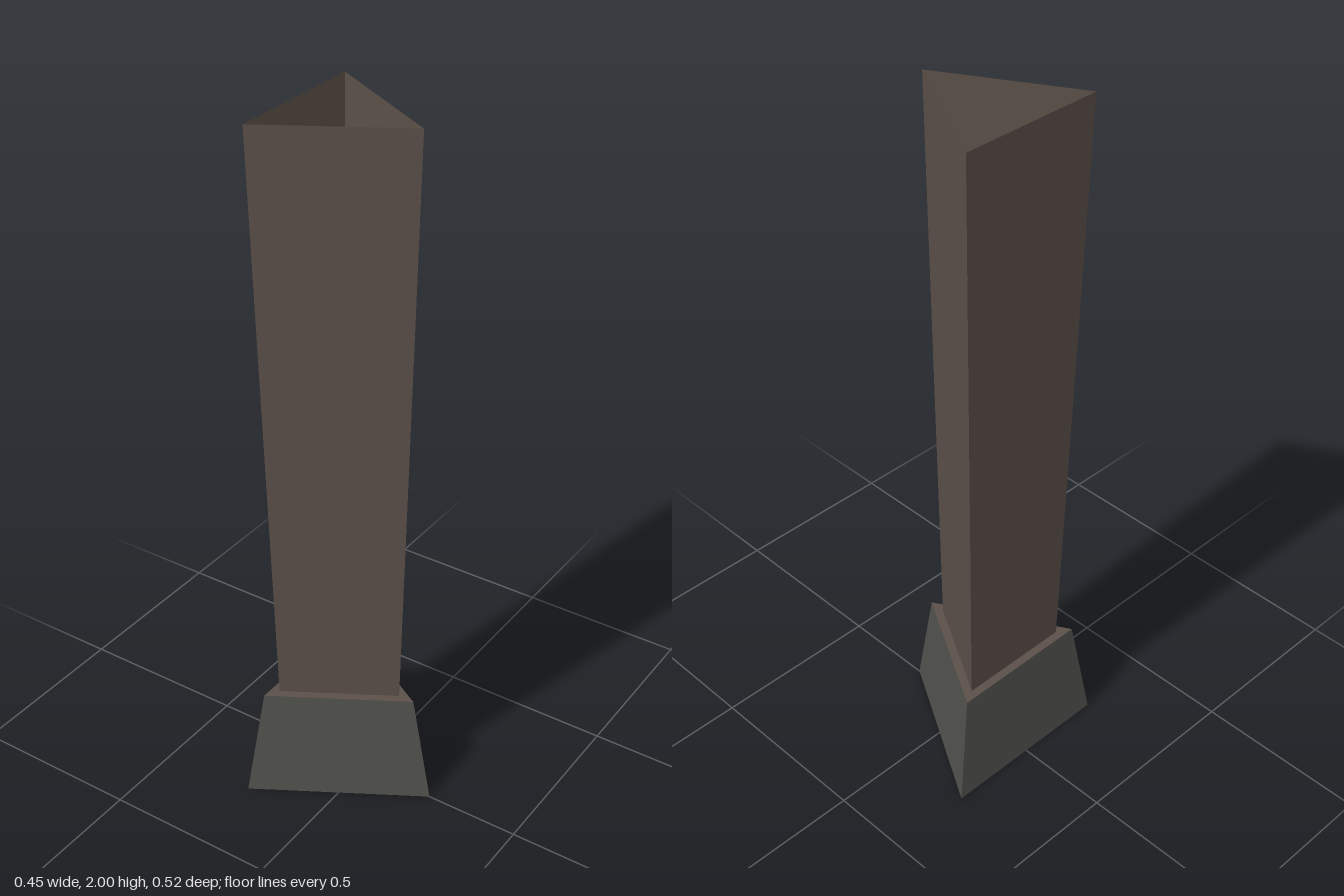
import * as THREE from 'three';

// Three-sided surface swept from a [radius, height] profile, one corner facing +x
function prism(name, profile, material) {
  const points = profile.map(([r, y]) => new THREE.Vector2(r, y));
  const mesh = new THREE.Mesh(new THREE.LatheGeometry(points, 3, Math.PI / 2), material);
  mesh.name = name;
  return mesh;
}

export function createModel() {
  const stone = new THREE.MeshStandardMaterial({ color: 0x50504c, flatShading: true, side: THREE.DoubleSide });
  const wood = new THREE.MeshStandardMaterial({ color: 0x5c5049, flatShading: true, side: THREE.DoubleSide });

  const bottomR = 0.3, topR = 0.24, neckR = 0.193, baseH = 0.32;
  const column = new THREE.Group();
  column.name = 'column';

  // Tapered foot with a closed underside
  column.add(prism('base', [[0, 0], [bottomR, 0], [topR, baseH]], stone));
  // Floor seen through the open top of the shaft
  column.add(prism('shaftFloor', [[neckR, baseH], [0, baseH]], stone));
  // Narrow ledge, then the open shaft widening upwards
  column.add(prism('shaft', [[topR, baseH], [neckR, baseH], [topR, 2]], wood));

  // Centre the triangle's extents on x = 0
  column.position.x = -bottomR / 4;
  const model = new THREE.Group();
  model.name = 'triangularPost';
  model.add(column);
  return model;
}
